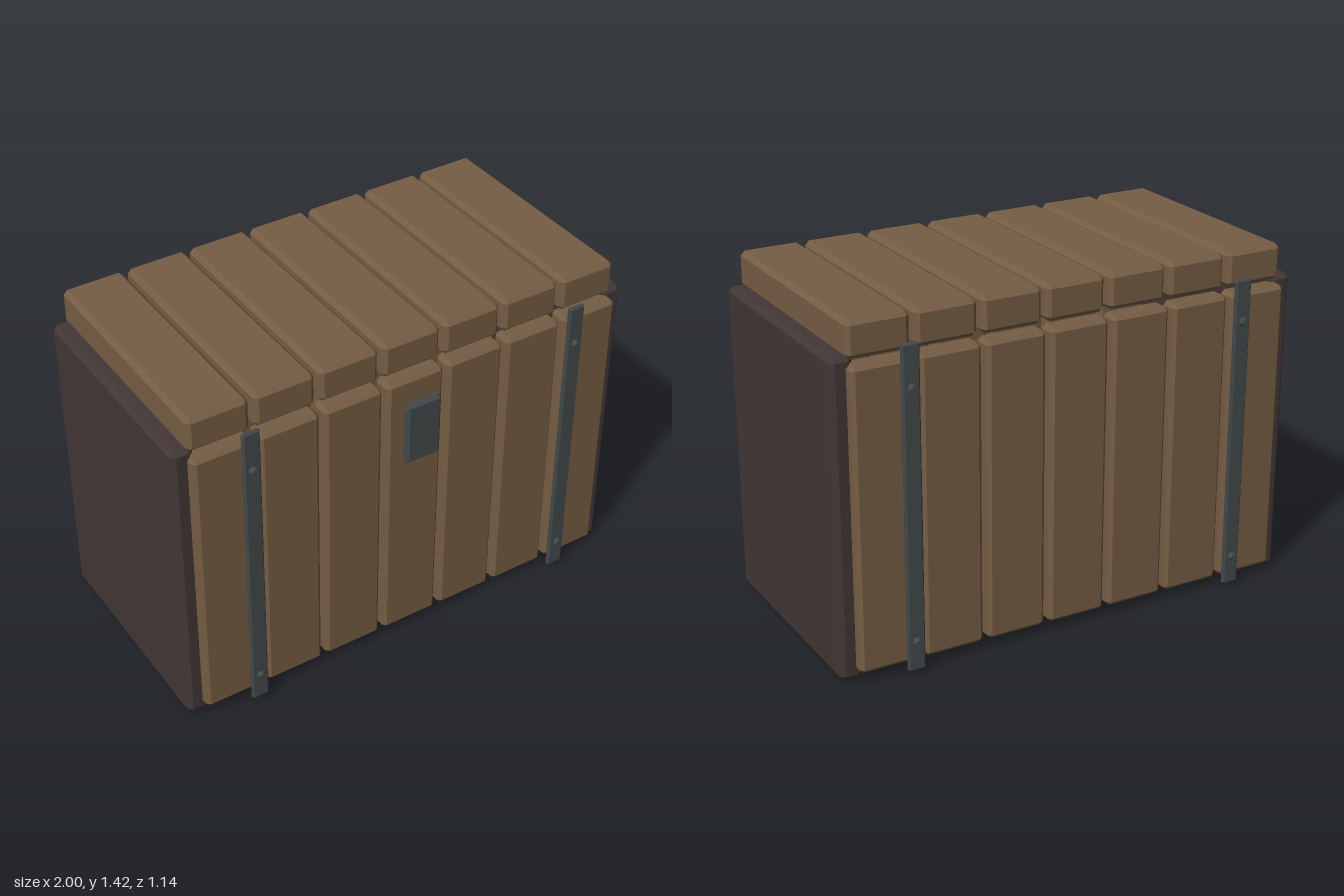
import * as THREE from 'three';
import { ConvexGeometry } from 'three/addons/geometries/ConvexGeometry.js';

const material = (name, color) => {
  const m = new THREE.MeshStandardMaterial({ color });
  m.name = name;
  return m;
};

// Box with flat chamfered edges: each corner becomes three points
function chamferBox(w, h, d, c) {
  const [x, y, z] = [w / 2, h / 2, d / 2];
  const points = [];
  for (const sx of [-1, 1]) for (const sy of [-1, 1]) for (const sz of [-1, 1]) {
    points.push(
      new THREE.Vector3(sx * x, sy * (y - c), sz * (z - c)),
      new THREE.Vector3(sx * (x - c), sy * y, sz * (z - c)),
      new THREE.Vector3(sx * (x - c), sy * (y - c), sz * z));
  }
  return new ConvexGeometry(points);
}

export function createModel() {
  const group = new THREE.Group();
  group.name = 'chest';
  const wood = material('brown wood', 0x765d44);
  const darkWood = material('dark wood', 0x433636);
  const iron = material('dark iron', 0x42494a);

  const add = (name, geometry, mat, x, y, z) => {
    const mesh = new THREE.Mesh(geometry, mat);
    mesh.name = name;
    mesh.position.set(x, y, z);
    group.add(mesh);
    return mesh;
  };

  // Seven upright planks front and back, seven boards across the lid
  const plank = chamferBox(0.252, 1.22, 0.09, 0.016);
  const lidBoard = chamferBox(0.252, 0.146, 0.973, 0.018);
  for (let i = -3; i <= 3; i++) {
    const x = i * 0.271;
    add('frontPlank', plank, wood, x, 0.65, 0.468);
    add('backPlank', plank, wood, x, 0.65, -0.478);
    add('lidBoard', lidBoard, wood, x, 1.348, -0.004);
  }

  // Solid end panels; the bottom stays open
  const endPanel = chamferBox(0.093, 1.287, 0.952, 0.02);
  for (const s of [-1, 1]) add('endPanel', endPanel, darkWood, s * 0.9535, 0.6465, -0.004);

  // Iron straps with two bolts each, front and back
  const strap = chamferBox(0.072, 1.307, 0.022, 0.007);
  const bolt = new THREE.CylinderGeometry(0.011, 0.019, 0.016, 8).toNonIndexed();
  bolt.computeVertexNormals();
  for (const side of [-1, 1]) {
    const z = side > 0 ? 0.536 : -0.544;
    for (const x of [-0.72, 0.72]) {
      add('strap', strap, iron, x, 0.6715, z);
      for (const y of [0.14, 1.155]) {
        add('bolt', bolt, iron, x, y, z + side * 0.018).rotation.x = side * Math.PI / 2;
      }
    }
  }

  // Latch plate
  add('latch', chamferBox(0.156, 0.272, 0.032, 0.012), iron, 0, 1.05, 0.559);
  return group;
}
